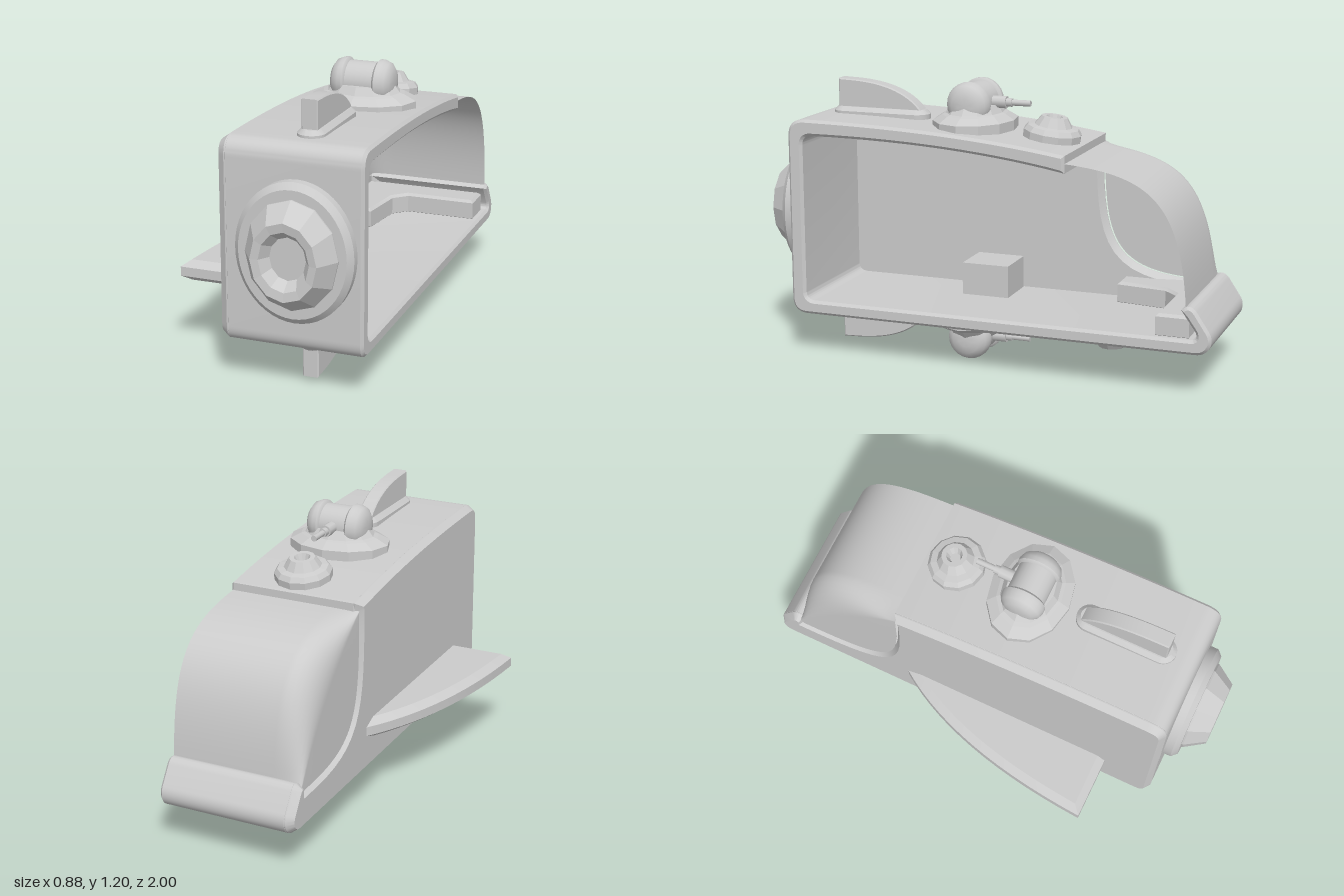
import * as THREE from 'three';
import { toCreasedNormals } from 'three/addons/utils/BufferGeometryUtils.js';

const smooth = new THREE.MeshStandardMaterial({ color: 0xcccccc, side: THREE.DoubleSide });
const flat = new THREE.MeshStandardMaterial({ color: 0xcccccc, flatShading: true, side: THREE.DoubleSide });
const V = (x, y) => new THREE.Vector2(x, y);
const CX = 0.17; // centre line of the hull

function add(parent, name, geo, mat = smooth) {
  const m = new THREE.Mesh(geo, mat);
  m.name = name;
  parent.add(m);
  return m;
}

// Bevelled extrusion that keeps the drawn outline as its largest section
function extrude(shape, depth, bevel, thick = bevel) {
  const g = new THREE.ExtrudeGeometry(shape, {
    depth: depth - 2 * thick, bevelEnabled: bevel > 0, bevelSize: bevel, bevelThickness: thick,
    bevelOffset: -bevel, bevelSegments: 1, curveSegments: 14,
  });
  g.translate(0, 0, thick);
  return toCreasedNormals(g, 0.5);
}
// Side profile drawn as (-z, y), extruded along x from x0 to x1
const sideExtrude = (shape, x0, x1, bevel, thick) =>
  extrude(shape, x1 - x0, bevel, thick).rotateY(Math.PI / 2).translate(x0, 0, 0);

const lathe = (pts, segs) => new THREE.LatheGeometry(pts.map(p => V(p[0], p[1])), segs);

// Canopy curves in (-z, y): the roof line and the border on the closed side
const roof = new THREE.CubicBezierCurve(V(0.37, 0.925), V(0.72, 0.9), V(0.86, 0.82), V(0.89, 0.375));
const border = new THREE.CubicBezierCurve(V(0.372, 0.92), V(0.372, 0.45), V(0.42, 0.34), V(0.87, 0.345));

// Outer hull line, from the rear of the roof round the nose to the curled tail lip
function outerHull() {
  const s = new THREE.Shape();
  s.moveTo(0.38, 0.957);
  s.quadraticCurveTo(-0.1, 1.035, -0.77, 1.037);
  s.quadraticCurveTo(-0.85, 1.037, -0.85, 0.96);
  s.lineTo(-0.85, 0.26);
  s.quadraticCurveTo(-0.85, 0.19, -0.78, 0.19);
  s.lineTo(0.93, 0.19);
  s.bezierCurveTo(0.99, 0.19, 1.012, 0.25, 0.985, 0.29);
  s.lineTo(0.935, 0.365);
  s.quadraticCurveTo(0.905, 0.405, 0.87, 0.37);
  return s;
}

function buildHull(g) {
  const frame = outerHull();
  frame.lineTo(0.93, 0.285);
  frame.quadraticCurveTo(0.945, 0.25, 0.91, 0.25);
  frame.lineTo(-0.74, 0.25);
  frame.quadraticCurveTo(-0.785, 0.25, -0.785, 0.29);
  frame.lineTo(-0.785, 0.925);
  frame.quadraticCurveTo(-0.785, 0.968, -0.74, 0.968);
  frame.quadraticCurveTo(-0.1, 0.975, 0.38, 0.885);
  add(g, 'hullFrame', sideExtrude(frame, -0.14, 0.44, 0.012));

  const wall = outerHull();
  border.getPoints(14).reverse().forEach(p => wall.lineTo(p.x, p.y));
  add(g, 'closedSideWall', sideExtrude(wall, -0.165, -0.1, 0.022, 0.03));
}

// Canopy: roof strip, rounded shoulder, then flat cheek down to the border
function buildCanopy(g) {
  const N = 28, A = 8, pos = [], idx = [];
  const section = [[0.43, 0], [-0.03, 0]];
  for (let i = 1; i <= A; i++) {
    const a = (i / A) * Math.PI / 2;
    section.push([-0.03 - 0.122 * Math.sin(a), 0.35 * (1 - Math.cos(a))]);
  }
  section.push([-0.152, 1]);
  const M = section.length;
  for (let i = 0; i <= N; i++) {
    const p = roof.getPoint(i / N), c = border.getPoint(i / N);
    for (const [x, k] of section) {
      const q = p.clone().lerp(c, k);
      pos.push(x, q.y, -q.x);
    }
  }
  for (let i = 0; i < N; i++) for (let j = 0; j < M - 1; j++) {
    const a = i * M + j, b = a + M;
    idx.push(a, b, a + 1, b, b + 1, a + 1);
  }
  const geo = new THREE.BufferGeometry();
  geo.setAttribute('position', new THREE.Float32BufferAttribute(pos, 3));
  geo.setIndex(idx);
  geo.computeVertexNormals();
  // Make the roof strip face upwards
  if (geo.attributes.normal.getY(Math.floor(N / 2) * M) < 0) {
    geo.setIndex(idx.slice().reverse());
    geo.computeVertexNormals();
  }
  add(g, 'canopy', geo);
}

function buildInterior(g) {
  add(g, 'seat', new THREE.BoxGeometry(0.2, 0.14, 0.21)).position.set(0.007, 0.32, 0.085);
  // L-shaped console drawn as (x, -z)
  const s = new THREE.Shape([V(-0.13, 0.48), V(0, 0.48), V(0.03, 0.7), V(0.09, 0.76),
    V(0.41, 0.76), V(0.41, 0.9), V(-0.13, 0.9)]);
  add(g, 'console', extrude(s, 0.1, 0.012).rotateX(-Math.PI / 2).translate(0, 0.24, 0));
}

function buildEngine(g) {
  const e = new THREE.Group();
  e.name = 'noseEngine';
  e.position.set(CX, 0.615, 0);
  e.scale.set(0.855, 1, 1);
  g.add(e);
  const disc = lathe([[0.288, 0.83], [0.288, 0.885], [0.262, 0.908], [0, 0.908]], 48);
  add(e, 'engineDisc', toCreasedNormals(disc, 0.5)).rotation.x = Math.PI / 2;
  const cone = lathe([[0.225, 0.9], [0.225, 0.915], [0.16, 1.0], [0.122, 0.995], [0.088, 0.95], [0, 0.95]], 12);
  add(e, 'engineCone', cone, flat).rotation.x = Math.PI / 2;
}

function buildWing(g) {
  const s = new THREE.Shape();
  s.moveTo(-0.11, -0.63);
  s.lineTo(-0.44, -0.63);
  s.quadraticCurveTo(-0.4, 0, -0.165, 0.33);
  s.lineTo(-0.11, 0.38);
  add(g, 'sideWing', extrude(s, 0.09, 0.035, 0.025).rotateX(-Math.PI / 2).translate(0, 0.325, 0));
}

// Turret: stepped base, two rounded pods with a drum between, rear-facing gun
function buildTurret(g) {
  const t = new THREE.Group();
  t.name = 'turret';
  t.position.z = 0.1;
  g.add(t);
  const base = lathe([[0.172, -0.03], [0.172, 0.012], [0.135, 0.036], [0.12, 0.042], [0.1, 0.075], [0, 0.08]], 12);
  add(t, 'turretBase', base.scale(1.32, 1, 1), flat);
  const pod = [[0, 0.06], [0.085, 0.06], [0.095, 0.07], [0.094, 0.088], [0.084, 0.112], [0.06, 0.129], [0.03, 0.135], [0, 0.136]];
  for (const side of [-1, 1]) {
    const m = add(t, 'turretPod', toCreasedNormals(lathe(pod, 24), 0.8));
    m.rotation.z = -side * Math.PI / 2;
    m.position.y = 0.08;
  }
  const drum = add(t, 'turretDrum', new THREE.CylinderGeometry(0.083, 0.083, 0.14, 24));
  drum.rotation.z = Math.PI / 2;
  drum.position.y = 0.08;
  for (const [name, r, z, len] of [['gunMount', 0.026, -0.11, 0.06], ['gunCollar', 0.018, -0.15, 0.03], ['gunBarrel', 0.013, -0.17, 0.15]]) {
    const m = add(t, name, new THREE.CylinderGeometry(r, r, len, 10));
    m.rotation.x = Math.PI / 2;
    m.position.set(0, 0.086, z);
  }
}

function buildFin(g) {
  const pad = new THREE.Shape();
  pad.absarc(0, -0.368, 0.058, Math.PI, 0, true);
  pad.absarc(0, -0.692, 0.058, 0, -Math.PI, true);
  add(g, 'finPad', extrude(pad, 0.065, 0.018).rotateX(-Math.PI / 2).translate(0, -0.03, 0));
  const s = new THREE.Shape();
  s.moveTo(-0.72, 0);
  s.lineTo(-0.72, 0.155);
  s.lineTo(-0.64, 0.152);
  s.quadraticCurveTo(-0.42, 0.14, -0.335, 0.03);
  s.lineTo(-0.335, 0);
  add(g, 'fin', sideExtrude(s, -0.034, 0.034, 0.005));
}

// Round vent with a hollow top
function buildVent(g, z, y, tilt) {
  const pts = [[0.123, -0.04], [0.123, 0.015], [0.108, 0.035], [0.08, 0.04], [0.055, 0.078], [0.035, 0.078], [0.022, 0.05], [0, 0.05]];
  const m = add(g, 'vent', lathe(pts, 12), flat);
  m.position.set(0, y, z);
  m.rotation.x = tilt;
}

export function createModel() {
  const g = new THREE.Group();
  g.name = 'podShip';
  buildHull(g);
  buildCanopy(g);
  buildInterior(g);
  buildEngine(g);
  buildWing(g);
  // The same fittings on the roof and, turned over, on the belly
  for (const top of [true, false]) {
    const f = new THREE.Group();
    f.name = top ? 'roofFittings' : 'bellyFittings';
    f.position.set(CX, top ? 1.03 : 0.185, 0);
    f.rotation.z = top ? 0 : Math.PI;
    buildTurret(f);
    buildFin(f);
    if (top) buildVent(f, -0.24, -0.038, -0.14);
    else buildVent(f, -0.51, 0, 0);
    g.add(f);
  }
  return g;
}
